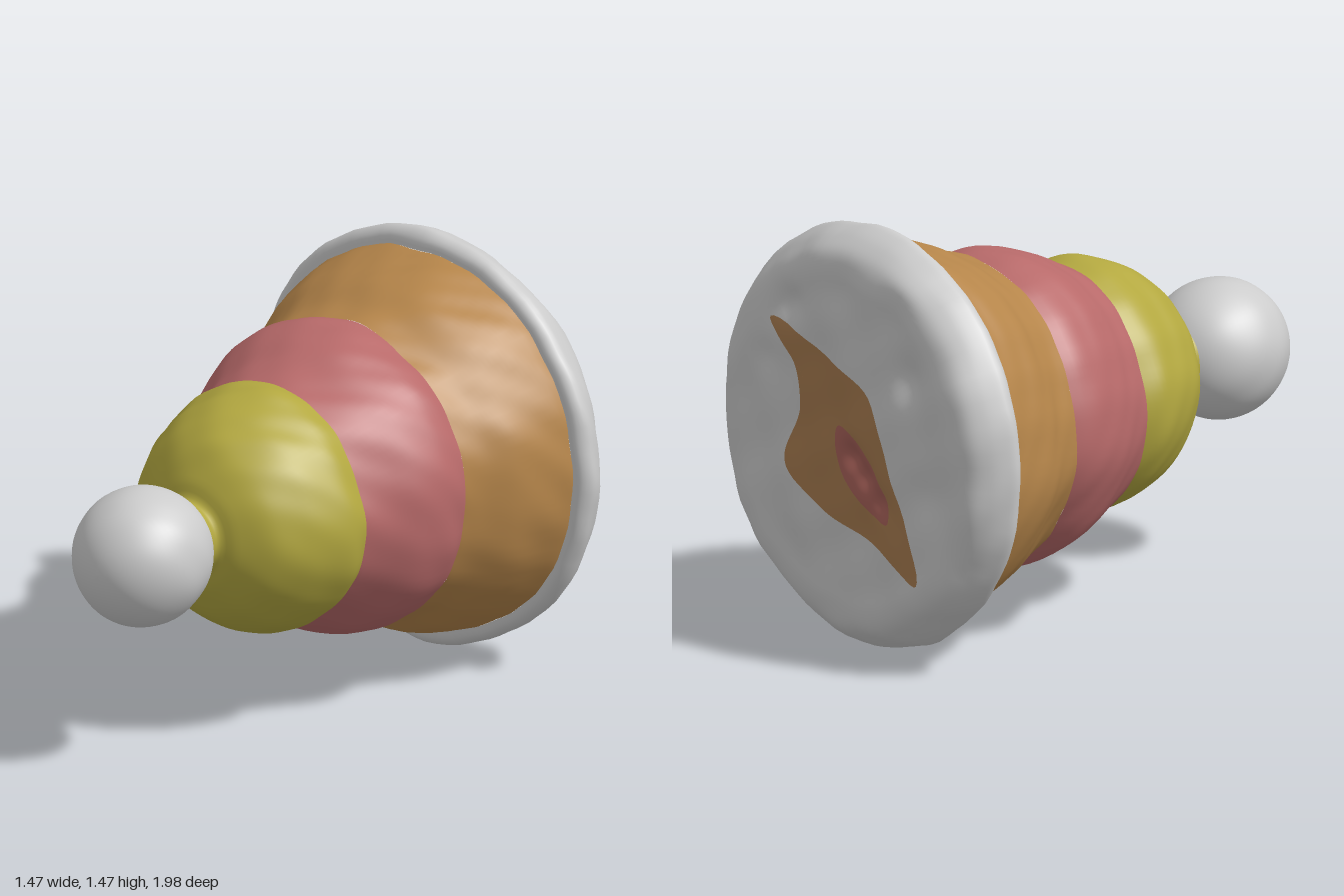
import * as THREE from 'three';

const SIDES = 96;
const CENTRE_Y = 0.735;
const BACK_Z = -0.965;

// Gentle hand-modelled lumps, the same for every part so the joints meet
function lumps(x, y, z) {
  return 0.007 * Math.sin(7 * x + 3 * z + 1) * Math.sin(8 * y - 5 * z)
    + 0.005 * Math.sin(15 * x - 9 * y + 11 * z) * Math.sin(12 * z + 6 * y)
    + 0.003 * Math.sin(31 * x + 17 * z) * Math.sin(29 * y - 23 * z + 2);
}

// Dents pressed into the flat back: x, y, radius, depth
const DENTS = [
  [0.28, 0.42, 0.07, 0.03], [0.4, 0.22, 0.06, 0.02], [-0.33, 0.28, 0.08, 0.025],
  [-0.06, -0.04, 0.05, 0.03], [-0.13, -0.1, 0.05, 0.03], [-0.2, -0.17, 0.05, 0.025],
  [0.3, -0.4, 0.09, 0.015], [-0.4, -0.1, 0.08, 0.015], [0.02, 0.5, 0.09, 0.02],
];
function backRelief(x, y) {
  let d = 0.012 * Math.sin(9 * x + 2 * y) * Math.sin(8 * y - 3 * x + 1)
    + 0.005 * Math.sin(21 * x + 8 * y) * Math.sin(19 * y - 7 * x);
  for (const [dx, dy, r, depth] of DENTS) {
    d += depth * Math.exp(-((x - dx) ** 2 + (y - dy) ** 2) / (r * r));
  }
  return d;
}

// Surface from rows of points; each row is a closed loop
function skin(name, rows, cols, color, pointAt) {
  const positions = [], index = [];
  for (let i = 0; i < rows; i++) {
    for (let j = 0; j < cols; j++) {
      positions.push(...pointAt(i / (rows - 1), j / cols));
      if (i === rows - 1) continue;
      const a = i * cols + j, c = i * cols + (j + 1) % cols;
      index.push(a, a + cols, c, a + cols, c + cols, c);
    }
  }
  const geometry = new THREE.BufferGeometry();
  geometry.setAttribute('position', new THREE.Float32BufferAttribute(positions, 3));
  geometry.setIndex(index);
  geometry.computeVertexNormals();
  const mesh = new THREE.Mesh(geometry, new THREE.MeshStandardMaterial({ color }));
  mesh.name = name;
  return mesh;
}

// Lumpy turned section along z; profile is [z, radius] from front to back
function section(name, profile, color, rows = 26, rough = 1) {
  const curve = new THREE.SplineCurve(profile.map(([z, r]) => new THREE.Vector2(z, r)));
  const pts = curve.getSpacedPoints(rows - 1);
  return skin(name, rows, SIDES, color, (u, v) => {
    const { x: z, y: r } = pts[Math.round(u * (rows - 1))];
    const a = v * Math.PI * 2, c = Math.cos(a), s = Math.sin(a);
    const radius = Math.max(0, r + rough * Math.min(1, r / 0.3) * lumps(r * c, r * s, z));
    const x = radius * c + 0.03 + 0.045 * z, y = radius * s;
    const relief = THREE.MathUtils.smoothstep(-z, 0.86, 0.955) * backRelief(x, y);
    return [x, CENTRE_Y + y, z + relief];
  });
}

// Stain lying on the back, its outline running anticlockwise
function stain(name, outline, cx, cy, color, lift) {
  const curve = new THREE.CatmullRomCurve3(
    outline.map(([x, y]) => new THREE.Vector3(x, y, 0)), true);
  return skin(name, 30, 80, color, (u, v) => {
    const p = curve.getPoint(v);
    const x = THREE.MathUtils.lerp(p.x, cx, u), y = THREE.MathUtils.lerp(p.y, cy, u);
    return [x, CENTRE_Y + y, BACK_Z + backRelief(x, y) - lift];
  });
}

export function createModel() {
  const group = new THREE.Group();
  group.name = 'clayBell';

  // Ball at the tip
  const ball = [];
  for (let i = 0; i <= 14; i++) {
    const a = (i / 14) * Math.PI * 0.83;
    ball.push([0.75 + 0.25 * Math.cos(a), 0.24 * Math.sin(a)]);
  }
  group.add(section('tipBall', ball, 0xcccccc, 30, 0.5));

  // Dome with its pinched neck
  group.add(section('dome', [
    [0.56, 0.14], [0.525, 0.135], [0.495, 0.135], [0.47, 0.2], [0.4, 0.3], [0.3, 0.37],
    [0.2, 0.41], [0.12, 0.43], [0.05, 0.42],
  ], 0xb3a840, 36));

  // Middle band
  group.add(section('middleBand', [
    [0.05, 0.42], [0.02, 0.435], [-0.05, 0.468], [-0.15, 0.515], [-0.25, 0.54],
    [-0.32, 0.54], [-0.37, 0.528],
  ], 0xb86a6a));

  // Flared skirt
  group.add(section('skirt', [
    [-0.37, 0.528], [-0.45, 0.556], [-0.55, 0.61], [-0.65, 0.643], [-0.76, 0.668],
    [-0.775, 0.67],
  ], 0xb5854a, 26, 1.2));

  // Rolled rim and closed back
  group.add(section('rimAndBack', [
    [-0.775, 0.67], [-0.78, 0.705], [-0.81, 0.728], [-0.85, 0.718], [-0.9, 0.69],
    [-0.945, 0.645], [-0.965, 0.58], [BACK_Z, 0.5], [BACK_Z, 0.3], [BACK_Z, 0.15], [BACK_Z, 0],
  ], 0xcccccc, 70));

  // Stains in the middle of the back
  group.add(stain('backStain', [
    [0.37, 0.36], [0.05, 0.27], [-0.14, 0.18], [-0.28, -0.12], [-0.4, -0.42],
    [-0.2, -0.34], [0.1, -0.25], [0.28, -0.12], [0.22, 0.08], [0.25, 0.22],
  ], 0, -0.03, 0xa87c50, 0.005));
  group.add(stain('backStainCentre', [
    [0.02, 0.05], [-0.1, 0.02], [-0.22, -0.13], [-0.24, -0.24], [-0.12, -0.2], [0, -0.1],
  ], -0.11, -0.1, 0xa9625a, 0.009));

  return group;
}
